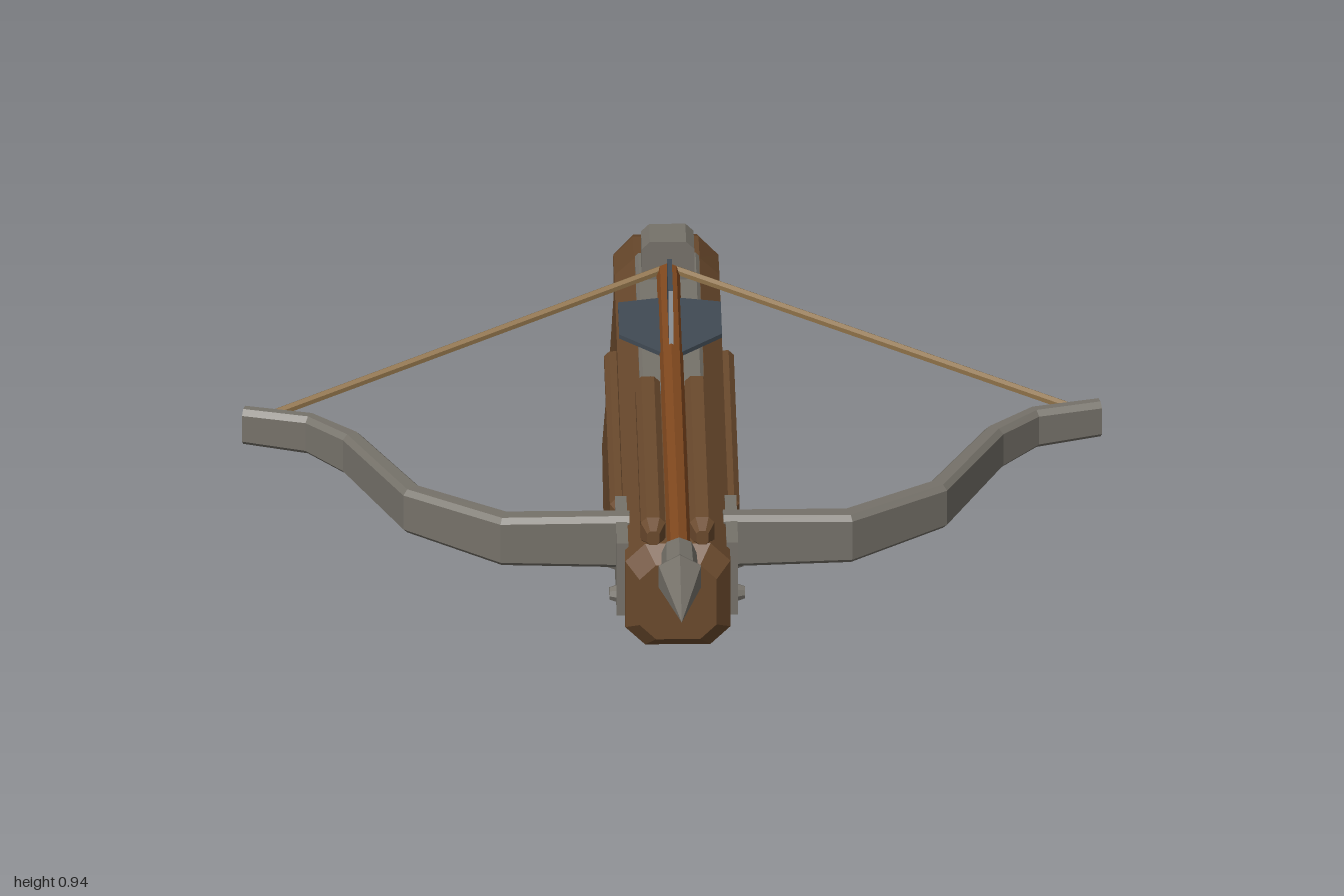
import * as THREE from 'three';

const V = (x, y, z) => new THREE.Vector3(x, y, z);
const mat = (name, color) => {
  const m = new THREE.MeshStandardMaterial({ color, flatShading: true });
  m.name = name;
  return m;
};

// Chamfered rectangle in the plane of e1 and e2 (half sizes a and b)
function section(center, e1, e2, a, b, c) {
  return [[a - c, b], [a, b - c], [a, c - b], [a - c, -b], [c - a, -b], [-a, c - b], [-a, b - c], [c - a, b]]
    .map(([s, t]) => center.clone().addScaledVector(e1, s).addScaledVector(e2, t));
}

// Closed solid through a list of rings, always wound outward
function loft(rings) {
  const tris = [], n = rings[0].length;
  for (let i = 0; i < rings.length - 1; i++) {
    for (let j = 0; j < n; j++) {
      const k = (j + 1) % n, A = rings[i], B = rings[i + 1];
      tris.push([A[j], B[j], B[k]], [A[j], B[k], A[k]]);
    }
  }
  const first = rings[0], last = rings[rings.length - 1];
  for (let j = 1; j < n - 1; j++) {
    tris.push([first[0], first[j], first[j + 1]], [last[0], last[j + 1], last[j]]);
  }
  const volume = tris.reduce((s, [a, b, c]) => s + a.dot(b.clone().cross(c)), 0);
  if (volume < 0) tris.forEach((t) => t.reverse());
  const g = new THREE.BufferGeometry().setFromPoints(tris.flat());
  g.computeVertexNormals();
  return g;
}

// Sweep a chamfered bar along points; sizes are [half size along axis, half thickness]
function sweep(points, axis, sizes, c) {
  return loft(points.map((p, i) => {
    const t = points[Math.min(i + 1, points.length - 1)].clone().sub(points[Math.max(i - 1, 0)]).normalize();
    return section(p, axis, t.cross(axis).normalize(), sizes[i][0], sizes[i][1], c);
  }));
}

export function createModel() {
  const wood = mat('wood', 0x6b4a2d);
  const metal = mat('metal', 0x76726a);
  const shaftWood = mat('boltWood', 0x82491f);
  const feather = mat('fletching', 0x414a54);
  const cord = mat('cord', 0x8c7048);
  const root = new THREE.Group();
  root.name = 'crossbow';

  const add = (name, geometry, material, x = 0, y = 0, z = 0) => {
    const m = new THREE.Mesh(geometry, material);
    m.name = name;
    m.position.set(x, y, z);
    root.add(m);
    return m;
  };
  // Chamfered bar lying along z
  const bar = (z0, z1, y0, y1, x, w, c, slope = 0) => {
    const ring = (z, k) => section(V(x, (y0 + y1) / 2, z), V(1, 0, 0), V(0, 1, 0), w * k, (y1 - y0) / 2 * k, c * k);
    return slope
      ? loft([ring(z0, 0.5), ring(z0 + slope, 1), ring(z1 - slope, 1), ring(z1, 0.5)])
      : loft([ring(z0, 1), ring(z1, 1)]);
  };

  // Stock and grip: top z, top y, bottom z, bottom y, half width, chamfer
  const stock = [
    [0.67, 0.787, 0.67, 0.643, 0.066, 0.028],
    [0.64, 0.813, 0.64, 0.617, 0.09, 0.034],
    [-0.37, 0.819, -0.38, 0.617, 0.09, 0.034],
    [-0.48, 0.802, -0.44, 0.61, 0.09, 0.034],
    [-0.555, 0.765, -0.49, 0.572, 0.088, 0.034],
    [-0.62, 0.7, -0.535, 0.51, 0.084, 0.034],
    [-0.8, 0.44, -0.66, 0.275, 0.09, 0.034],
    [-0.995, 0.15, -0.785, 0.03, 0.1, 0.036],
    [-1.0, 0.117, -0.817, 0.004, 0.085, 0.03],
  ].map(([tz, ty, bz, by, w, c]) => {
    const top = V(0, ty, tz), bottom = V(0, by, bz), up = top.clone().sub(bottom);
    const h = up.length() / 2;
    return section(top.add(bottom).multiplyScalar(0.5), V(1, 0, 0), up.normalize(), w, h, c);
  });
  add('stock', loft(stock), wood);

  // Bolt channel and its metal bed
  for (const s of [-1, 1]) {
    add('channelRail', bar(0.09, 0.645, 0.8, 0.853, s * 0.042, 0.021, 0.01, 0.025), wood);
    add('sideRidge', bar(-0.195, 0.365, 0.706, 0.742, s * 0.092, 0.019, 0.009, 0.015), wood);
  }
  add('bedPlate', bar(-0.365, 0.11, 0.808, 0.832, 0, 0.055, 0.006), metal);
  add('nutBlock', bar(-0.335, -0.27, 0.82, 0.905, 0, 0.045, 0.014), metal);

  // Bow limbs with mounting plates and rivets
  const limbPath = [[0.08, 0.506], [0.295, 0.5], [0.45, 0.392], [0.55, 0.19], [0.62, 0.118], [0.732, 0.086]];
  const limbSize = [[0.05, 0.019], [0.046, 0.021], [0.042, 0.02], [0.039, 0.018], [0.036, 0.016], [0.034, 0.015]];
  for (const s of [-1, 1]) {
    add('bowLimb', sweep(limbPath.map(([x, z]) => V(s * x, 0.75, z)), V(0, 1, 0), limbSize, 0.009), metal);
    add('limbPlate', new THREE.BoxGeometry(0.02, 0.14, 0.17), metal, s * 0.094, 0.722, 0.515);
    for (const z of [0.457, 0.572]) {
      add('rivet', new THREE.CylinderGeometry(0.011, 0.016, 0.014, 8).rotateZ(-s * Math.PI / 2),
        metal, s * 0.109, 0.68, z);
    }
    // Half of the drawn string
    const string = new THREE.LineCurve3(V(s * 0.7, 0.757, 0.075), V(0, 0.862, -0.258));
    add('bowString', new THREE.TubeGeometry(string, 1, 0.008, 6), cord);
  }

  // Bolt: shaft, socket, point and three fins
  const boltY = 0.855;
  add('boltShaft', new THREE.CylinderGeometry(0.02, 0.02, 1.01, 8).rotateX(Math.PI / 2), shaftWood, 0, boltY, 0.255);
  add('boltSocket', new THREE.CylinderGeometry(0.032, 0.03, 0.07, 8).rotateX(Math.PI / 2), metal, 0, boltY, 0.785);
  add('boltPoint', new THREE.LatheGeometry(
    [[0, 0], [0.03, 0], [0.042, 0.025], [0, 0.19]].map(([r, y]) => new THREE.Vector2(r, y)), 6)
    .rotateX(Math.PI / 2), metal, 0, boltY, 0.81);
  const finShape = new THREE.Shape(
    [[0.045, 0.012], [-0.025, 0.088], [-0.14, 0.088], [-0.156, 0.012]].map(([z, r]) => new THREE.Vector2(z, r)));
  const fin = new THREE.ExtrudeGeometry(finShape, { depth: 0.008, bevelEnabled: false })
    .translate(0, 0, -0.004).rotateY(-Math.PI / 2);
  for (const a of [-1, 0, 1]) add('boltFin', fin, feather, 0, boltY, 0).rotation.z = a * Math.PI / 2;

  // Trigger, its plate and the guard
  add('triggerPlate', bar(-0.37, -0.03, 0.6, 0.622, 0, 0.042, 0.006), metal);
  add('plateScrew', new THREE.CylinderGeometry(0.014, 0.01, 0.012, 8), metal, 0, 0.596, -0.08);
  const inSide = (list) => list.map(([z, y]) => V(0, y, z));
  const guard = inSide([[-0.133, 0.61], [-0.138, 0.53], [-0.2, 0.428], [-0.29, 0.388], [-0.4, 0.378], [-0.61, 0.412]]);
  add('triggerGuard', sweep(guard, V(1, 0, 0), guard.map(() => [0.019, 0.009]), 0.004), metal);
  add('trigger', sweep(inSide([[-0.308, 0.61], [-0.325, 0.55], [-0.322, 0.485], [-0.288, 0.425]]),
    V(1, 0, 0), [[0.016, 0.024], [0.016, 0.018], [0.015, 0.016], [0.014, 0.014]], 0.006), metal);

  return root;
}
